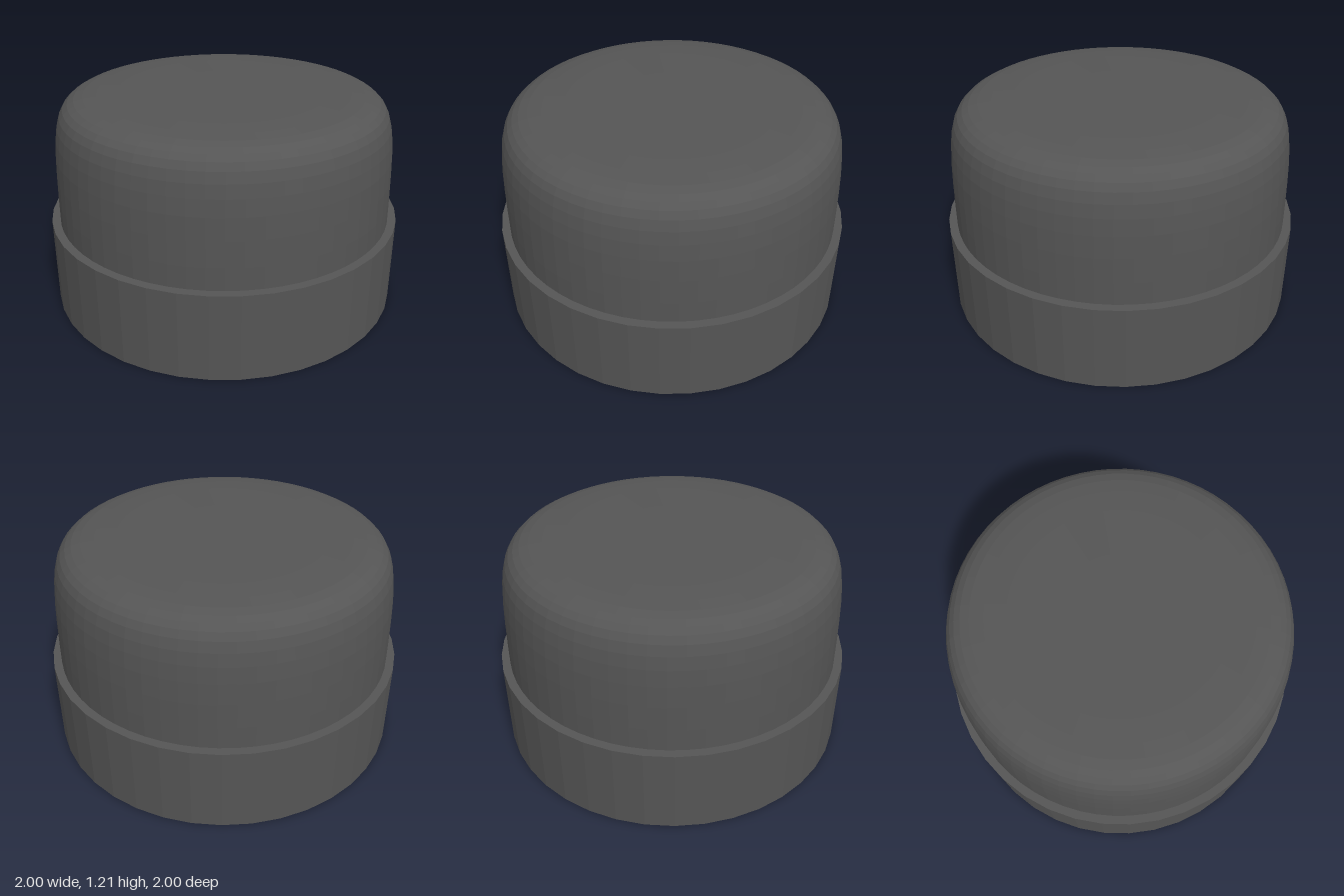
import * as THREE from 'three';

const BASE_HEIGHT = 0.495;

// Regular polygon points around (cx, cy)
function ring(radius, sides, cx = 0, cy = 0) {
  return Array.from({ length: sides }, (_, i) => {
    const a = (i / sides) * Math.PI * 2;
    return new THREE.Vector2(cx + radius * Math.cos(a), cy + radius * Math.sin(a));
  });
}

export function createModel() {
  const group = new THREE.Group();
  group.name = 'cappedHousing';
  const material = new THREE.MeshStandardMaterial({ color: 0x555555, flatShading: true });

  // Base drum with four screw holes opening in its underside
  const outline = new THREE.Shape(ring(1, 40));
  for (const [x, z] of [[0.78, 0], [0, 0.78], [-0.78, 0], [0, -0.78]]) {
    outline.holes.push(new THREE.Path(ring(0.041, 16, x, z)));
  }
  const baseGeometry = new THREE.ExtrudeGeometry(outline, { depth: BASE_HEIGHT, bevelEnabled: false });
  baseGeometry.rotateX(-Math.PI / 2);
  const base = new THREE.Mesh(baseGeometry, material);
  base.name = 'base';
  group.add(base);

  // Cap: near-vertical wall, soft shoulder, almost flat top; its floor closes the holes
  const profile = [
    [0, 0.485], [0.953, 0.485], [0.952, 0.62], [0.949, 0.76], [0.944, 0.88],
    [0.936, 0.97], [0.925, 1.04], [0.909, 1.095], [0.888, 1.133], [0.86, 1.16],
    [0.825, 1.179], [0.775, 1.192], [0.7, 1.2], [0.58, 1.206], [0.31, 1.212], [0, 1.213],
  ].map(([r, y]) => new THREE.Vector2(r, y));
  const cap = new THREE.Mesh(new THREE.LatheGeometry(profile, 64), material);
  cap.name = 'cap';
  group.add(cap);

  return group;
}
